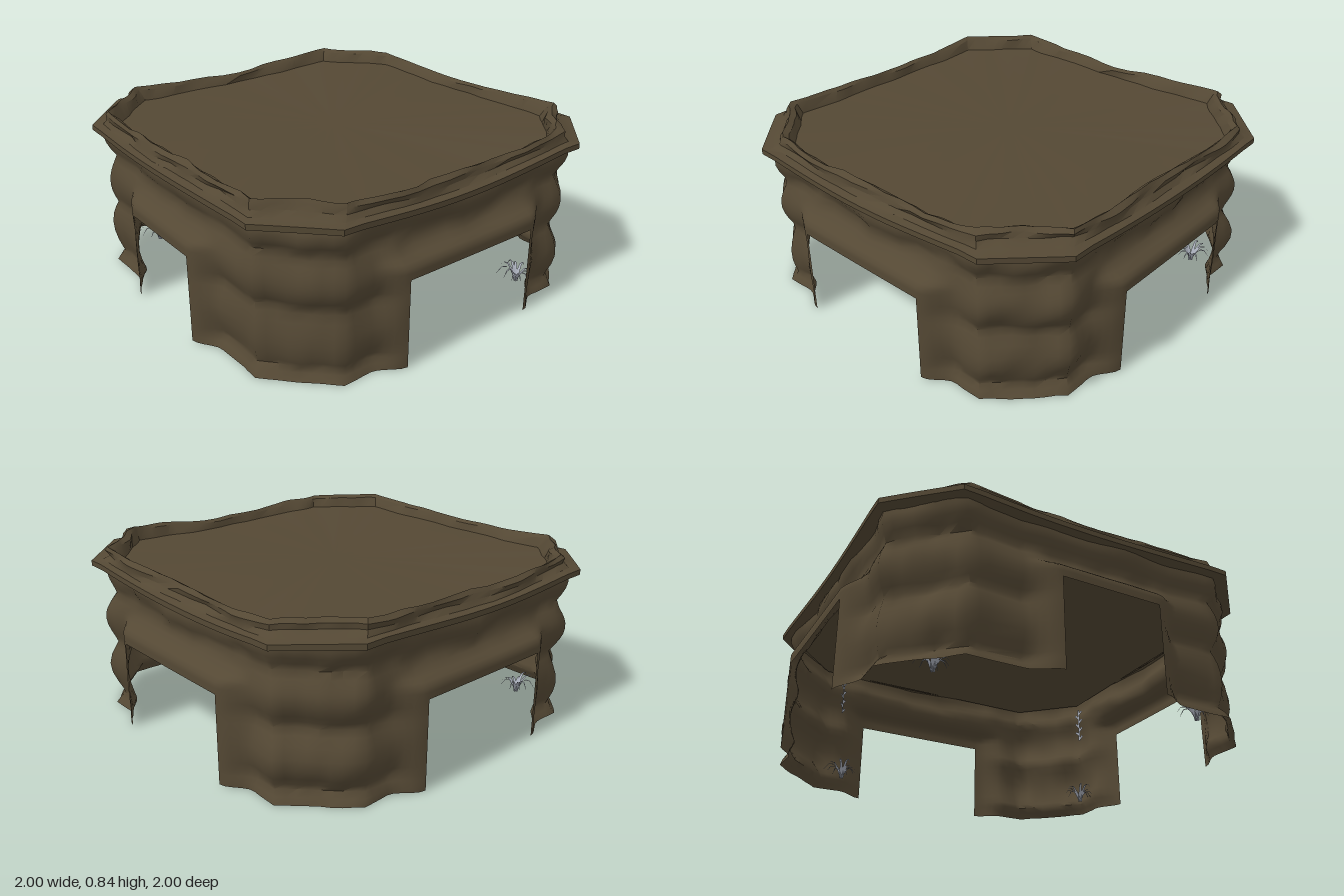
import * as THREE from 'three';
import { toCreasedNormals, mergeGeometries } from 'three/addons/utils/BufferGeometryUtils.js';

const CHAMFER = 0.27;       // corner cut of the octagonal plan
const LINTEL = 0.43;        // height of the openings
const OPENINGS = [0.37, 0.37, 0.37, 0.25]; // half widths: front, +x, back, -x
const { smoothstep, lerp } = THREE.MathUtils;

// smooth irregularity for the weathered surface
const noise = (x, y, z) =>
  0.45 * Math.sin(8 * x + 6 * y + 1) * Math.cos(7 * z - 5 * y) +
  0.35 * Math.sin(16 * x - 12 * y + 2) * Math.cos(15 * z + 9 * y + 1) +
  0.2 * Math.sin(31 * x + 8 * y) * Math.cos(29 * z + 3);

// gentle sag of the top between raised corners, highest at front +x
const sag = (x, z) => {
  const corner = Math.min(1, (x * x * z * z) / 0.36);
  const lift = x > 0 && z > 0 ? 0.036 : 0.02;
  return lift * corner + 0.006 * Math.sin(5 * x - 1) + 0.005 * Math.sin(4 * z);
};

// columns running counter-clockwise around the plan
function makeColumns() {
  const cols = [];
  for (let k = 0; k < 4; k++) {
    const op = OPENINGS[k];
    const half = [0.25, 0.5, 0.75, 1].map((f) => f * op);
    for (let i = 1; i <= 5; i++) half.push(op + 0.03 * i);
    half.push(0.56, 0.6);
    const ts = [...half.map((t) => -t).reverse(), 0, ...half];
    ts.forEach((t) => cols.push({ k, t, op }));
    for (let i = 0; i <= 8; i++) cols.push({ k, f: i / 8, op });
  }
  return cols;
}
const columns = makeColumns();

// point on the chamfered square of half size h
function planPoint(col, h) {
  const a = col.k * Math.PI / 2;
  const u = col.f === undefined ? col.t : h - CHAMFER * (1 - col.f);
  const v = col.f === undefined ? h : h - CHAMFER * col.f;
  return [u * Math.cos(a) + v * Math.sin(a), v * Math.cos(a) - u * Math.sin(a)];
}

// closed surface from rows of points, with optional holes
function ringSurface(rowCount, point, crease, skip = () => false) {
  const n = columns.length, pos = [], idx = [];
  for (let j = 0; j < rowCount; j++) columns.forEach((c) => pos.push(...point(c, j)));
  for (let j = 0; j < rowCount - 1; j++) for (let i = 0; i < n; i++) {
    const m = (i + 1) % n;
    if (skip(columns[i], columns[m], j)) continue;
    const a = j * n + i, b = j * n + m;
    idx.push(a, b, b + n, a, b + n, a + n);
  }
  const g = new THREE.BufferGeometry();
  g.setAttribute('position', new THREE.Float32BufferAttribute(pos, 3));
  g.setIndex(idx);
  return toCreasedNormals(g, crease);
}

// wall: worn rounded courses flaring out to flat surrounds at the openings
function wallGeometry() {
  const ys = [0, 0.03, 0.055, 0.08, 0.12, 0.17, 0.22, 0.27, 0.31, 0.34, 0.37, 0.4, LINTEL,
    0.46, 0.485, 0.5, 0.515, 0.535, 0.56, 0.59, 0.62, 0.65, 0.68, 0.72];
  const seams = [-0.08, 0.055, 0.34, 0.59, 0.78];
  const course = (y) => {
    let i = 0;
    while (i < seams.length - 2 && y >= seams[i + 1]) i++;
    const f = (y - seams[i]) / (seams[i + 1] - seams[i]);
    return 0.036 * Math.max(0, Math.sin(Math.PI * f));
  };
  const point = (c, j) => {
    const y = ys[j];
    const [bx, bz] = planPoint(c, 0.89);
    const worn = 0.896 + course(y + 0.03 * noise(bx, 0, bz)) + 0.022 * noise(bx, y, bz);
    const beside = c.f === undefined
      ? 1 - smoothstep(Math.abs(c.t), c.op, c.op + 0.15) : 0;
    const h = lerp(worn, 1, beside * (1 - smoothstep(y, 0.48, 0.54)));
    const [x, z] = planPoint(c, h);
    return [x, y + sag(x, z) * Math.pow(y / 0.72, 5), z];
  };
  const inside = (c) => c.f === undefined && Math.abs(c.t) <= c.op + 1e-6;
  return ringSurface(ys.length, point, 1.1,
    (a, b, j) => ys[j + 1] <= LINTEL && inside(a) && inside(b));
}

// projecting ledge, worn rim and sunken deck in one sweep to the centre
function roofGeometry() {
  // half size, height, roughness
  const profile = [[0.91, 0.7, 0], [0.972, 0.706, 0], [0.972, 0.732, 0], [0.935, 0.738, 0.01],
    [0.918, 0.76, 0.025], [0.922, 0.785, 0.03], [0.905, 0.803, 0.03], [0.887, 0.79, 0.028],
    [0.87, 0.752, 0.014]];
  const inner = [0.9, 0.72, 0.5, 0.25, 0.001];
  const last = profile.length - 1;
  return ringSurface(profile.length + inner.length, (c, j) => {
    const [h0, y0, rough] = profile[Math.min(j, last)];
    const [bx, bz] = planPoint(c, h0);
    const [x, z] = planPoint(c, h0 + rough * noise(bx, y0 * 4, bz));
    const s = j <= last ? 1 : inner[j - profile.length];
    const wave = sag(x * s, z * s) * (j < last ? 1 : 0.4);
    return [x * s, y0 + wave + 0.3 * rough * noise(bz, 1, bx) * s, z * s];
  }, 0.6);
}

// flat ceiling closing the hollow from below
function ceilingGeometry() {
  const h = 0.91, c = h - CHAMFER;
  const pts = [[-c, h], [c, h], [h, c], [h, -c], [c, -h], [-c, -h], [-h, -c], [-h, c]];
  const g = new THREE.ShapeGeometry(new THREE.Shape(pts.map((p) => new THREE.Vector2(...p))));
  return g.rotateX(Math.PI / 2).translate(0, 0.7, 0);
}

// tuft of arched tapering blades
function tuftGeometry() {
  const blades = [];
  for (let i = 0; i < 11; i++) {
    const len = 0.075 + 0.03 * ((i * 7) % 5) / 4;
    const g = new THREE.PlaneGeometry(0.02, 1, 1, 4).translate(0, 0.5, 0);
    const p = g.attributes.position;
    for (let v = 0; v < p.count; v++) {
      const f = p.getY(v);
      p.setXYZ(v, p.getX(v) * (1.05 - f), 0.85 * len * Math.sin(f * 2.5), len * f);
    }
    g.rotateY(i * 2.4);
    g.computeVertexNormals();
    blades.push(g);
  }
  return mergeGeometries(blades);
}

// thin hanging strand with small leaves
function strandGeometry() {
  const parts = [new THREE.PlaneGeometry(0.01, 0.2)];
  for (let i = 0; i < 7; i++) {
    const side = i % 2 ? 1 : -1;
    parts.push(new THREE.PlaneGeometry(0.03, 0.012).rotateZ(side * 0.8)
      .translate(side * 0.01, 0.08 - i * 0.027, 0));
  }
  return mergeGeometries(parts);
}

export function createModel() {
  const model = new THREE.Group();
  const earth = new THREE.MeshStandardMaterial({ color: 0x544834, side: THREE.DoubleSide });
  earth.name = 'brown earth';
  const dryLeaf = new THREE.MeshStandardMaterial({ color: 0xa6abb7, side: THREE.DoubleSide });
  dryLeaf.name = 'grey leaf';
  const add = (name, geo, mat) => {
    const m = new THREE.Mesh(geo, mat);
    m.name = name;
    model.add(m);
    return m;
  };

  add('wall', wallGeometry(), earth);
  add('ledgeRimAndDeck', roofGeometry(), earth);
  add('ceiling', ceilingGeometry(), earth);

  // plants against the inside of the four corner piers
  const tuft = tuftGeometry(), strand = strandGeometry();
  for (const [x, z] of [[0.52, 0.82], [0.79, -0.55], [-0.67, -0.68], [-0.78, 0.6]]) {
    add('pierTuft', tuft, dryLeaf).position.set(x, 0.03, z);
    const s = add('hangingStrand', strand, dryLeaf);
    s.position.set(x * 1.03, 0.52, z * 1.03);
    s.rotation.y = Math.atan2(x, z);
  }
  return model;
}
